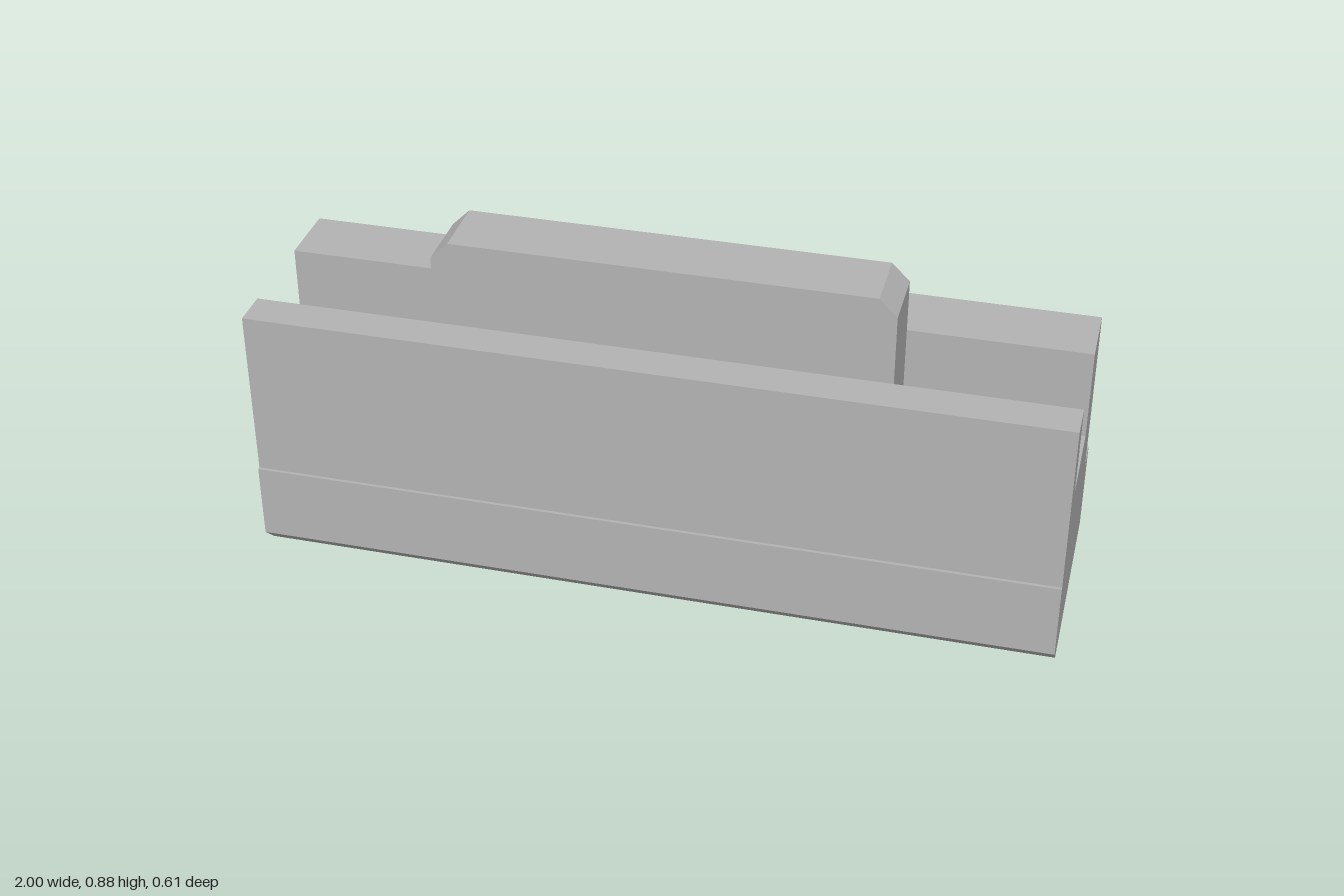
import * as THREE from 'three';

// Closed outline from a short list of points
function outline(points) {
  return new THREE.Shape(points.map(([x, y]) => new THREE.Vector2(x, y)));
}

// Straight prism centred on its extrusion axis
function prism(points, depth) {
  const geometry = new THREE.ExtrudeGeometry(outline(points), { depth, bevelEnabled: false });
  return geometry.translate(0, 0, -depth / 2);
}

export function createModel() {
  const model = new THREE.Group();
  model.name = 'groovedRailWithBar';

  const grey = new THREE.MeshStandardMaterial({ color: 0xb3b3b3 });
  grey.name = 'grey';

  // Rail: constant cross-section [z, y] with a groove, rear ledge and chamfered front edge
  const section = [
    [0.26, 0], [0.305, 0.045], [0.305, 0.24], [0.297, 0.24],
    [0.297, 0.676], [0.201, 0.676], [0.201, 0.445], [-0.039, 0.445],
    [-0.039, 0.676], [-0.211, 0.676], [-0.211, 0.24], [-0.303, 0.24], [-0.303, 0],
  ];
  const railGeometry = prism(section.map(([z, y]) => [-z, y]), 2).rotateY(Math.PI / 2);
  const rail = new THREE.Mesh(railGeometry, grey);
  rail.name = 'groovedRail';
  model.add(rail);

  // Bar standing in the groove, with both top ends chamfered
  const halfLength = 0.56, bottom = 0.445, top = 0.876, chamfer = 0.044;
  const bar = new THREE.Mesh(prism([
    [-halfLength, bottom], [halfLength, bottom],
    [halfLength, top - chamfer], [halfLength - chamfer, top],
    [-halfLength + chamfer, top], [-halfLength, top - chamfer],
  ], 0.168), grey);
  bar.name = 'chamferedBar';
  bar.position.z = 0.081;
  model.add(bar);

  return model;
}
